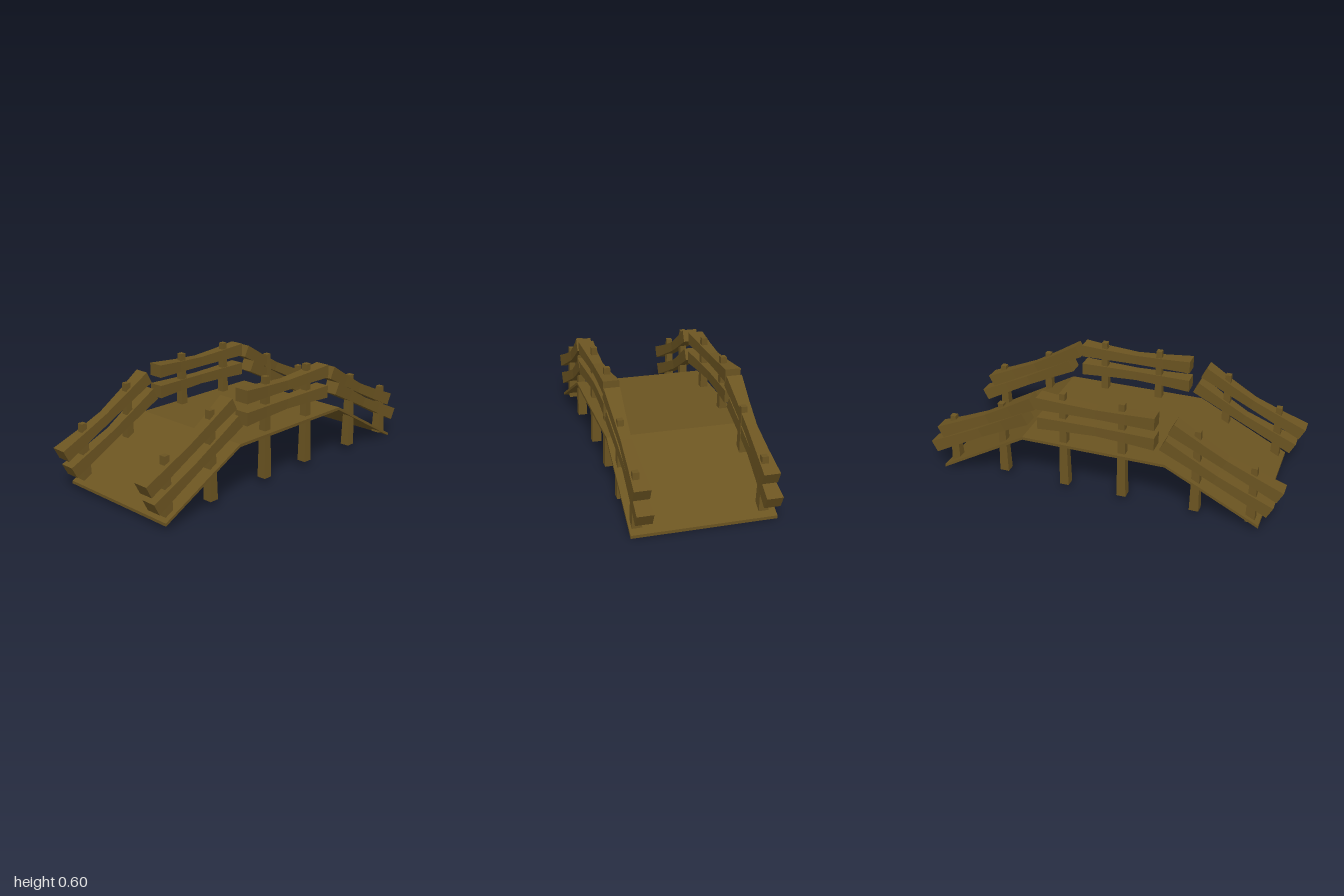
import * as THREE from 'three';

const wood = new THREE.MeshStandardMaterial({ color: 0x6b5421 });
wood.name = 'weathered wood';

// Box whose length is split into stations, pinched and sagging toward the middle
function makeRail([x0, y0], [x1, y1], z0, z1, sag) {
  const length = Math.hypot(x1 - x0, y1 - y0);
  const geo = new THREE.BoxGeometry(length, 1, 1, 4, 1, 1);
  const p = geo.attributes.position;
  for (let i = 0; i < p.count; i++) {
    const t = THREE.MathUtils.clamp(p.getX(i) / length + 0.5, 0, 1);
    const bend = Math.pow(Math.max(0, Math.sin(Math.PI * t)), 1.5);
    const height = 0.071 - 0.017 * bend;
    const depth = 0.085 - 0.03 * bend;
    p.setY(i, p.getY(i) * height - sag * bend);
    p.setZ(i, p.getZ(i) * depth + z0 + (z1 - z0) * t);
  }
  const flat = geo.toNonIndexed();
  flat.computeVertexNormals();
  const rail = new THREE.Mesh(flat, wood);
  rail.position.set((x0 + x1) / 2, (y0 + y1) / 2, 0);
  rail.rotation.z = Math.atan2(y1 - y0, x1 - x0);
  return rail;
}

// Square post tapering to the top
function makePost(x, top, z) {
  const bottom = 0.035;
  const geo = new THREE.CylinderGeometry(0.016 * Math.SQRT2, 0.026 * Math.SQRT2, top - bottom, 4)
    .rotateY(Math.PI / 4).toNonIndexed();
  geo.computeVertexNormals();
  const post = new THREE.Mesh(geo, wood);
  post.position.set(x, (top + bottom) / 2, z);
  return post;
}

// Thin ramped deck
function makeDeck() {
  const line = [[-0.89, 0.04], [-0.38, 0.303], [0.425, 0.303], [0.925, 0.016]];
  const outline = [...line, ...line.map(([x, y]) => [x, y - 0.016]).reverse()];
  const shape = new THREE.Shape(outline.map(([x, y]) => new THREE.Vector2(x, y)));
  const geo = new THREE.ExtrudeGeometry(shape, { depth: 0.742, bevelEnabled: false });
  const deck = new THREE.Mesh(geo, wood);
  deck.position.z = -0.366;
  deck.name = 'deck';
  return deck;
}

export function createModel() {
  const model = new THREE.Group();
  model.name = 'footbridge';
  model.add(makeDeck());

  // Start, end, sag and span of each rail, in left ramp, middle, right ramp order
  const rails = [
    [[-0.985, 0.228], [-0.408, 0.522], 0.017, 0],
    [[-0.94, 0.125], [-0.365, 0.42], 0.017, 0],
    [[-0.322, 0.535], [0.327, 0.535], 0.012, 1],
    [[-0.322, 0.417], [0.327, 0.417], -0.003, 1],
    [[0.357, 0.52], [0.935, 0.228], 0.012, 2],
    [[0.405, 0.418], [0.983, 0.123], 0.005, 2],
  ];
  // Each post: x, top height, span
  const posts = [
    [-0.84, 0.362, 0], [-0.54, 0.515, 0], [-0.135, 0.597, 1],
    [0.195, 0.597, 1], [0.565, 0.46, 2], [0.868, 0.323, 2],
  ];
  // Depth of rails (start, end) and posts for each span
  const sides = [
    { name: 'frontRailing', rail: [[0.33, 0.322], [0.327, 0.325], [0.332, 0.322]], post: [0.322, 0.319, 0.337] },
    { name: 'backRailing', rail: [[-0.312, -0.325], [-0.33, -0.332], [-0.322, -0.318]], post: [-0.318, -0.321, -0.305] },
  ];

  for (const side of sides) {
    const railing = new THREE.Group();
    railing.name = side.name;
    rails.forEach(([a, b, sag, span], i) => {
      const rail = makeRail(a, b, ...side.rail[span], sag);
      rail.name = i % 2 ? 'lowerRail' : 'upperRail';
      railing.add(rail);
    });
    for (const [x, top, span] of posts) {
      const post = makePost(x, top, side.post[span]);
      post.name = 'post';
      railing.add(post);
    }
    model.add(railing);
  }
  return model;
}
